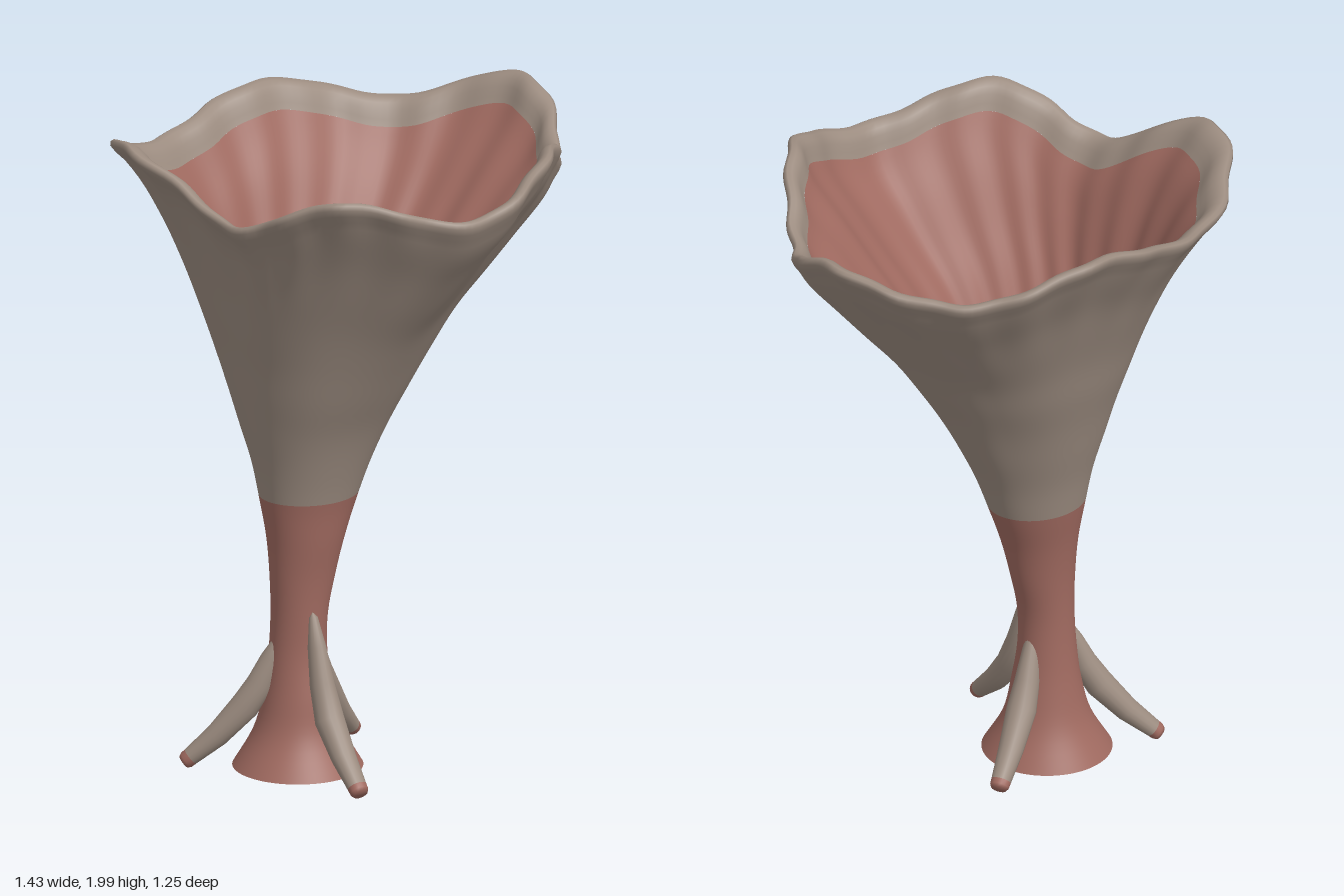
import * as THREE from 'three';

const taupe = new THREE.MeshStandardMaterial({ color: 0x9c8c80 });
taupe.name = 'taupe';
const red = new THREE.MeshStandardMaterial({ color: 0xa06a60 });
red.name = 'dusty red';

// Outline of the funnel every 0.12 in height: left x, right x, back z, front z
const STEP = 0.12;
const OUTLINE = [
  [-.39, .01, -.285, .115], [-.32, -.055, -.22, .045], [-.29, -.085, -.19, .02],
  [-.275, -.10, -.175, 0], [-.27, -.10, -.17, 0], [-.275, -.075, -.175, .01],
  [-.285, -.045, -.19, .03], [-.305, 0, -.215, .05], [-.33, .045, -.24, .085],
  [-.365, .105, -.275, .13], [-.40, .17, -.31, .19], [-.435, .245, -.35, .25],
  [-.475, .325, -.385, .315], [-.515, .425, -.43, .395], [-.56, .525, -.48, .475],
  [-.615, .625, -.545, .56], [-.70, .70, -.61, .615],
];
const spline = (f) => new THREE.CatmullRomCurve3(
  OUTLINE.map((o, i) => { const [x, z] = f(o); return new THREE.Vector3(x, i * STEP, z); }),
  false, 'catmullrom');
const centres = spline(([l, r, b, f]) => [(l + r) / 2, (b + f) / 2]);
const halves = spline(([l, r, b, f]) => [(r - l) / 2, (f - b) / 2]);

// Values spaced evenly round the circle, from +x towards +z
const around = (values) => {
  const curve = new THREE.CatmullRomCurve3(
    values.map((v) => new THREE.Vector3(v, 0, 0)), true, 'catmullrom');
  return (a) => curve.getPoint(THREE.MathUtils.euclideanModulo(a / (Math.PI * 2), 1)).x;
};
const rimRadius = around(
  [.70, .60, .58, .605, .625, .615, .645, .63, .645, .765, .75, .66, .635, .65, .665, .74]);
// Low and high points of the lip in turn
const rimWave = around([-.08, .068, -.05, .038, -.085, .083, -.045, .038, -.045, .055]);
const WAVE_START = THREE.MathUtils.degToRad(23);

const smooth = THREE.MathUtils.smoothstep;

// Point on the funnel wall: height, inset from the outer skin, angle, ripple depth
function wall(y, inset, a, ripple) {
  const u = Math.min(1, y / (STEP * (OUTLINE.length - 1)));
  const c = centres.getPoint(u), h = halves.getPoint(u);
  const cos = Math.cos(a), sin = Math.sin(a);
  const rim = rimRadius(a) / Math.hypot(.7 * cos, .61 * sin);
  const flute = 1 + ripple * Math.cos(22 * a);
  const k = THREE.MathUtils.lerp(1, rim, smooth(y, .8, 1.9)) * flute;
  const wave = rimWave(a - WAVE_START) * smooth(y, 1.1, 1.9);
  return new THREE.Vector3(
    c.x + Math.max(0, h.x - inset) * k * cos, y + wave,
    c.z + Math.max(0, h.z - inset) * k * sin);
}

// Smooth closed-loop skin through rows of points
function skin(name, material, rows, cols, pointAt) {
  const pos = [], index = [];
  rows.forEach((row, i) => {
    for (let j = 0; j < cols; j++) {
      pos.push(...pointAt(row, j / cols * Math.PI * 2).toArray());
      if (i === rows.length - 1) continue;
      const p = i * cols + j, q = i * cols + (j + 1) % cols;
      index.push(p, p + cols, q, q, p + cols, q + cols);
    }
  });
  const g = new THREE.BufferGeometry();
  g.setAttribute('position', new THREE.Float32BufferAttribute(pos, 3));
  g.setIndex(index);
  g.computeVertexNormals();
  const mesh = new THREE.Mesh(g, material);
  mesh.name = name;
  return mesh;
}

const range = (from, to, n, f) =>
  Array.from({ length: n + 1 }, (_, i) => f(from + (to - from) * i / n));

// Leg profile: distance out, height, thickness, width
const LEG = [
  [.065, .51, 0, 0], [.07, .495, .01, .014], [.09, .41, .03, .027], [.122, .30, .04, .037],
  [.167, .20, .044, .045], [.25, .108, .036, .038], [.328, .041, .027, .03],
  [.341, .030, .026, .029], [.349, .024, .021, .023], [.35, .023, 0, 0],
];

function makeLeg(name, degrees, rise) {
  const path = LEG.map(([d, y]) => new THREE.Vector2(d, y > .2 ? .2 + (y - .2) * rise : y));
  const ring = (i, a) => {
    const t = path[Math.min(i + 1, path.length - 1)].clone().sub(path[Math.max(i - 1, 0)]).normalize();
    const n = LEG[i][2] * Math.cos(a), w = LEG[i][3] * Math.sin(a);
    return new THREE.Vector3(path[i].x - t.y * n, path[i].y + t.x * n, -w);
  };
  const leg = new THREE.Group();
  leg.name = name;
  leg.add(skin('legShaft', taupe, [0, 1, 2, 3, 4, 5, 6], 16, ring));
  leg.add(skin('legTip', red, [6, 7, 8, 9], 16, ring));
  leg.position.set(-.195, 0, -.06);
  leg.rotation.y = -THREE.MathUtils.degToRad(degrees);
  return leg;
}

export function createModel() {
  const model = new THREE.Group();
  const COLS = 176;

  // Slim stem with a flared foot, hollow underneath
  const stemRows = range(.01, .855, 32, (y) => [y, 0]);
  model.add(skin('stem', red, stemRows, COLS, ([y, inset], a) => wall(y, inset, a, 0)));
  const hollowRows = [[.5, 1], ...range(.46, .025, 16, (y) => [y, .014]), [.012, .009], [.01, 0]];
  model.add(skin('footHollow', red, hollowRows, COLS, ([y, inset], a) => wall(y, inset, a, 0)));

  // Outer cup, rolled over the wavy lip
  const cupRows = [
    ...range(.855, 1.85, 36, (y) => [y, 0]),
    [1.875, -.005], [1.897, -.004], [1.911, .006], [1.917, .019], [1.912, .033],
    [1.9, .042], [1.88, .044], [1.855, .04], [1.835, .038],
  ];
  model.add(skin('cup', taupe, cupRows, COLS,
    ([y, inset], a) => wall(y, inset, a, .01 * smooth(y, 1.5, 1.9))));

  // Fluted lining, drawn in to a point at the bottom
  const liningRows = [
    ...range(1.835, .9, 40, (y) => [y, .038 + .05 * (1 - smooth(y, .85, 1.15))]), [.84, .13], [.78, 1],
  ];
  model.add(skin('lining', red, liningRows, COLS,
    ([y, inset], a) => wall(y, inset, a, .009 + .012 * (1 - smooth(y, .9, 1.84)))));

  // Three props around the stem
  model.add(makeLeg('frontLeg', 97, 1));
  model.add(makeLeg('leftLeg', -27, .77));
  model.add(makeLeg('rightLeg', 217, .72));
  return model;
}
